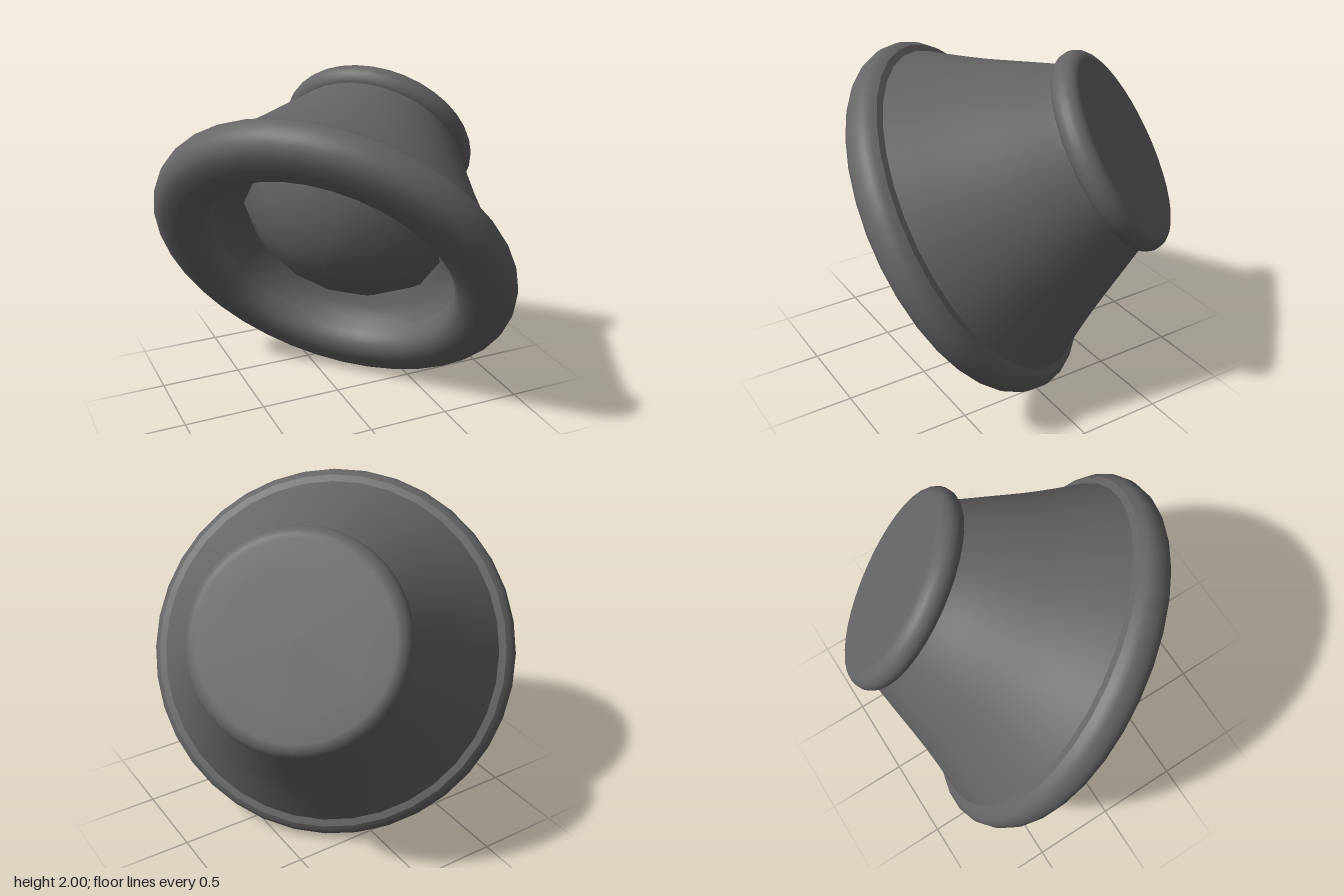
import * as THREE from 'three';

const SEGMENTS = 36;

// Half circle in (radius, height) from the underside to the top
function roundedEdge(cr, cy, r, steps) {
  const pts = [];
  for (let i = 0; i <= steps; i++) {
    const a = -Math.PI / 2 + (Math.PI * i) / steps;
    pts.push([cr + r * Math.cos(a), cy + r * Math.sin(a)]);
  }
  return pts;
}

// Shallow bulge toward -y over a ring of the given radius and height
function domeProfile(ringRadius, ringY, halfAngle, steps) {
  const sphere = ringRadius / Math.sin(halfAngle);
  const centreY = ringY + sphere * Math.cos(halfAngle);
  const pts = [];
  for (let i = 0; i <= steps; i++) {
    const a = (halfAngle * i) / steps;
    pts.push([sphere * Math.sin(a), centreY - sphere * Math.cos(a)]);
  }
  return pts;
}

// Smooth curve through a few profile points
function smooth(points, steps) {
  const curve = new THREE.SplineCurve(points.map(([r, y]) => new THREE.Vector2(r, y)));
  return curve.getPoints(steps).map((p) => [p.x, p.y]);
}

export function createModel() {
  const model = new THREE.Group();
  model.name = 'flaredHorn';
  const material = new THREE.MeshStandardMaterial({ color: 0x666666 });

  function turned(name, profile, segments = SEGMENTS) {
    const points = profile.map(([r, y]) => new THREE.Vector2(r, y));
    const mesh = new THREE.Mesh(new THREE.LatheGeometry(points, segments), material);
    mesh.name = name;
    model.add(mesh);
  }

  // Broad rim: inner lip, flattened front, rounded outer side
  turned('rim', smooth([
    [0.755, 0.04], [0.762, -0.03], [0.795, -0.095], [0.86, -0.128], [0.95, -0.132],
    [1.04, -0.113], [1.095, -0.06], [1.112, 0.01], [1.1, 0.07], [1.06, 0.112],
  ], 27));

  // Narrow step between the rim and the body
  turned('rimStep', [[1.06, 0.112], [1.015, 0.12]]);

  // Slightly concave tapering body
  turned('body', smooth([[1.03, 0.1], [0.9, 0.3], [0.797, 0.47], [0.675, 0.69], [0.57, 0.88], [0.55, 0.93]], 15));

  // Flat end cap with a rounded edge
  turned('endCap', [[0.5, 0.885], ...roundedEdge(0.53, 0.965, 0.08, 10), [0.4, 1.045], [0, 1.045]]);

  // Hollow funnel wall behind the lip
  turned('funnelWall', smooth([[0.54, 0.27], [0.62, 0.2], [0.71, 0.12], [0.755, 0.04]], 8));

  // Coarse dome closing the funnel
  turned('dome', domeProfile(0.62, 0.2, 0.84, 8), 12);

  // Tilt the turning axis up, back and to the side
  const axis = new THREE.Vector3(0.604, 0.52, -0.604).normalize();
  model.quaternion.setFromUnitVectors(new THREE.Vector3(0, 1, 0), axis);
  model.position.set(-0.085, 0.972, 0.085);

  const root = new THREE.Group();
  root.name = 'model';
  root.add(model);
  return root;
}
